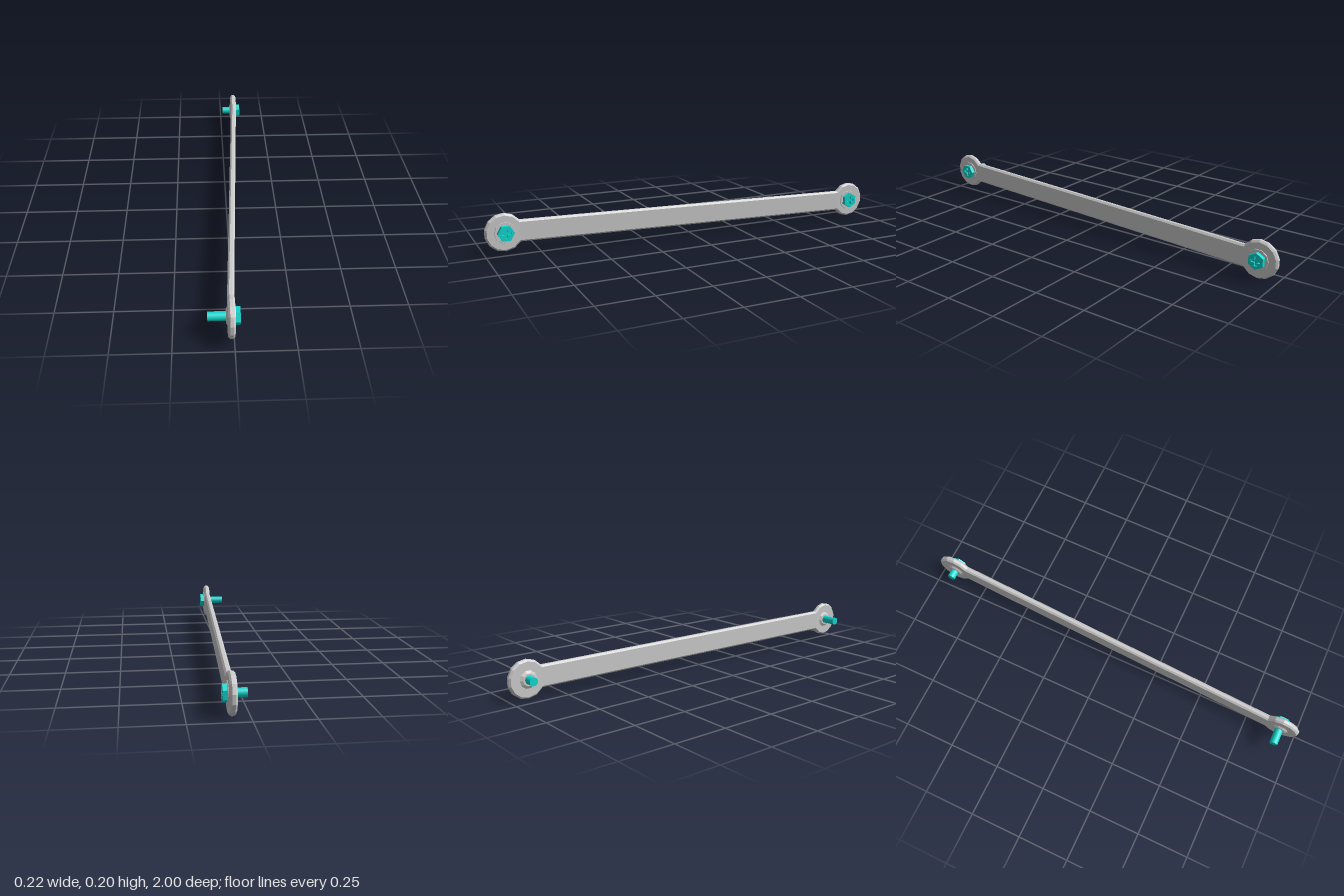
import * as THREE from 'three';

const grey = new THREE.MeshStandardMaterial({ color: 0xcccccc, flatShading: true });
const cyan = new THREE.MeshStandardMaterial({ color: 0x0fd8d0, flatShading: true });
const cyanSmooth = new THREE.MeshStandardMaterial({ color: 0x0fd8d0 });

const polar = (r, a, u = 0) => new THREE.Vector2(u + r * Math.cos(a), r * Math.sin(a));

function addMesh(parent, name, geometry, material) {
  const mesh = new THREE.Mesh(geometry, material);
  mesh.name = name;
  parent.add(mesh);
  return mesh;
}

// Cylinder along x, from x0 (radius r0) to x1 (radius r1)
function rod(x0, r0, x1, r1, sides) {
  return new THREE.CylinderGeometry(r0, r1, x1 - x0, sides)
    .rotateZ(Math.PI / 2).translate((x0 + x1) / 2, 0, 0);
}

// Flat bar with a faceted eye at each end; the straight part leans sideways and down
function linkGeometry() {
  const points = [];
  const span = THREE.MathUtils.degToRad(145), steps = 11;
  for (const side of [0, 1]) {
    for (let i = 0; i <= steps; i++) {
      const p = polar(0.0885, -span + 2 * span * i / steps, 0.913);
      points.push(side ? p.negate() : p);
    }
  }
  const bevel = 0.008, thick = 0.029;
  const geo = new THREE.ExtrudeGeometry(new THREE.Shape(points), {
    depth: thick - 2 * bevel, bevelThickness: bevel, bevelSize: bevel,
    bevelOffset: -bevel, bevelSegments: 1,
  });
  geo.translate(0, 0, bevel - thick / 2).rotateY(Math.PI / 2);
  const pos = geo.attributes.position;
  for (let i = 0; i < pos.count; i++) {
    const t = THREE.MathUtils.clamp(pos.getZ(i) / 0.83, -1, 1);
    pos.setX(i, pos.getX(i) + 0.0293 - 0.0418 * t);
    pos.setY(i, pos.getY(i) + 0.099 + 0.01 * t);
  }
  geo.computeVertexNormals();
  return geo;
}

// Hexagonal head with a cross-shaped recess
function headGeometry(turn) {
  const hex = [];
  for (let i = 0; i < 6; i++) hex.push(polar(0.0385, turn + i * Math.PI / 3));
  const shape = new THREE.Shape(hex);
  const w = 0.006, l = 0.022, cross = [];
  for (let i = 0; i < 4; i++) {
    for (const [x, y] of [[l, -w], [l, w], [w, w]]) {
      cross.push(new THREE.Vector2(x, y).rotateAround(new THREE.Vector2(), i * Math.PI / 2));
    }
  }
  shape.holes.push(new THREE.Path(cross));
  return new THREE.ExtrudeGeometry(shape, { depth: 0.02, bevelEnabled: false })
    .rotateY(Math.PI / 2).translate(0.0165, 0, 0);
}

function makeBolt(name, turn, shankEnd) {
  const bolt = new THREE.Group();
  bolt.name = name;
  addMesh(bolt, 'head', headGeometry(turn), cyan);
  addMesh(bolt, 'recessFloor', rod(0.016, 0.03, 0.026, 0.03, 12), cyan);
  addMesh(bolt, 'shank', rod(shankEnd, 0.0195, 0.017, 0.0195, 20), cyanSmooth);
  // Thin bosses on both faces of the eye
  addMesh(bolt, 'outerBoss', rod(0.012, 0.051, 0.0175, 0.049, 10), grey);
  addMesh(bolt, 'innerBoss', rod(-0.0215, 0.029, -0.012, 0.046, 10), grey);
  return bolt;
}

export function createModel() {
  const model = new THREE.Group();
  model.name = 'boltedLink';
  addMesh(model, 'linkBar', linkGeometry(), grey);

  const front = makeBolt('frontBolt', 0, -0.0955);
  front.position.set(-0.0125, 0.109, 0.91);
  const back = makeBolt('backBolt', Math.PI / 2, -0.062);
  back.position.set(0.0711, 0.089, -0.91);
  model.add(front, back);
  return model;
}
